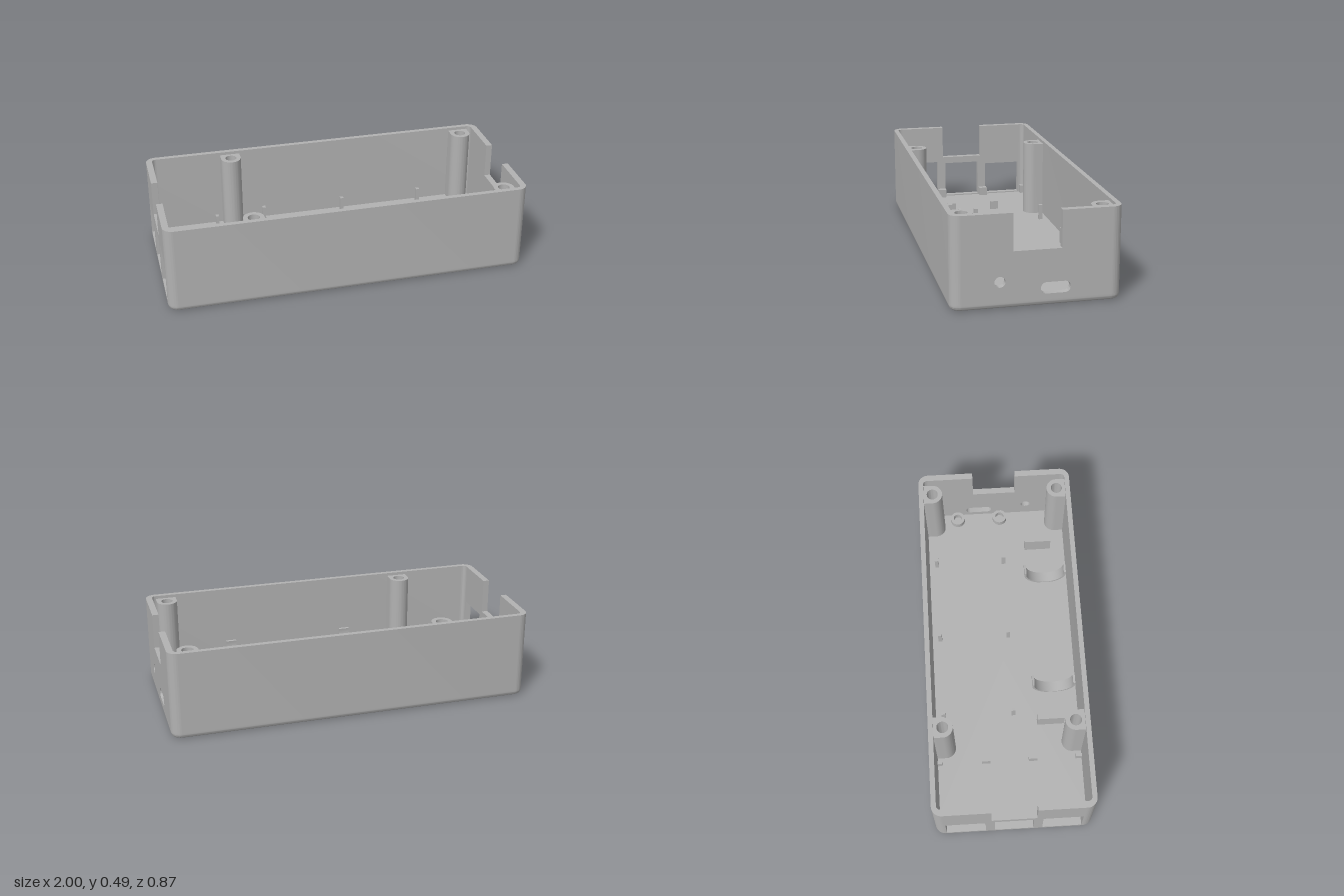
import * as THREE from 'three';
import { toCreasedNormals } from 'three/addons/utils/BufferGeometryUtils.js';

const L = 1, W = 0.437, H = 0.49, R = 0.055, FLOOR = 0.035;
const EZ = W - R; // half width of the flat part of the end walls
const T = 0.035; // end wall thickness

export function createModel() {
  const model = new THREE.Group();
  model.name = 'enclosureBase';
  const plastic = new THREE.MeshStandardMaterial({ color: 0xb2b2b2 });
  plastic.name = 'greyPlastic';

  const add = (name, geometry) => {
    const mesh = new THREE.Mesh(toCreasedNormals(geometry, 0.6), plastic);
    mesh.name = name;
    model.add(mesh);
    return mesh;
  };
  const extrude = (shape, depth) =>
    new THREE.ExtrudeGeometry(shape, { depth, bevelEnabled: false, curveSegments: 14 });
  // plan outline (x, -z) raised from y0 to y1
  const raise = (name, shape, y0, y1) =>
    add(name, extrude(shape, y1 - y0).rotateX(-Math.PI / 2).translate(0, y0, 0));
  // side outline (-z, y) given thickness along x
  const across = (name, shape, x0, x1) =>
    add(name, extrude(shape, x1 - x0).rotateY(Math.PI / 2).translate(x0, 0, 0));
  const block = (name, x0, x1, y0, y1, z0, z1) =>
    add(name, new THREE.BoxGeometry(x1 - x0, y1 - y0, z1 - z0)
      .translate((x0 + x1) / 2, (y0 + y1) / 2, (z0 + z1) / 2));
  const rectPath = (z0, z1, y0, y1) => new THREE.Path(
    [[-z1, y0], [-z0, y0], [-z0, y1], [-z1, y1]].map(p => new THREE.Vector2(...p)));

  add('floor', floorGeometry());

  // long walls with the rounded corners
  for (const s of [1, -1]) {
    const outline = new THREE.Shape();
    outline.moveTo(-L, EZ);
    outline.absarc(-L + R, EZ, R, Math.PI, Math.PI / 2, true);
    outline.absarc(L - R, EZ, R, Math.PI / 2, 0, true);
    outline.lineTo(L - T, EZ);
    outline.quadraticCurveTo(L - T, 0.41, 0.94, 0.41);
    outline.lineTo(-0.94, 0.41);
    outline.quadraticCurveTo(-L + T, 0.41, -L + T, EZ);
    const pts = outline.getPoints(14).map(p => new THREE.Vector2(p.x, p.y * s));
    raise(s > 0 ? 'backWall' : 'frontWall', new THREE.Shape(pts), FLOOR, H);
  }

  // end walls with a cable notch in the top edge
  const endShape = () => new THREE.Shape([
    [-EZ, FLOOR], [EZ, FLOOR], [EZ, H], [0.123, H], [0.123, 0.295],
    [-0.123, 0.295], [-0.123, H], [-EZ, H],
  ].map(p => new THREE.Vector2(...p)));

  const portEnd = endShape();
  const roundHole = new THREE.Path();
  roundHole.absarc(-0.19, 0.14, 0.028, 0, Math.PI * 2);
  const slot = new THREE.Path();
  slot.absarc(0.14, 0.093, 0.03, -Math.PI / 2, Math.PI / 2);
  slot.absarc(0.047, 0.093, 0.03, Math.PI / 2, Math.PI * 1.5);
  portEnd.holes.push(roundHole, slot);
  across('portEndWall', portEnd, L - T, L);

  const windowEnd = endShape();
  for (const [z0, z1, top] of [[-0.375, -0.157, 0.24], [-0.107, 0.107, 0.255], [0.157, 0.375, 0.265]])
    windowEnd.holes.push(rectPath(z0, z1, 0.042, top));
  across('windowEndWall', windowEnd, -L, -L + T);

  // screw posts joined to the long walls
  for (const x of [-0.515, 0.885]) for (const s of [1, -1]) {
    const post = new THREE.Shape();
    post.moveTo(x - 0.057, s * 0.415);
    post.lineTo(x - 0.057, s * 0.36);
    post.absarc(x, s * 0.36, 0.057, Math.PI, 0, s < 0);
    post.lineTo(x + 0.057, s * 0.415);
    const bore = new THREE.Path();
    bore.absarc(x, s * 0.36, 0.032, 0, Math.PI * 2);
    post.holes.push(bore);
    raise('screwPost', post, FLOOR - 0.005, 0.473);
  }

  // short standoffs beside the port end
  for (const z of [-0.225, 0.03]) {
    const standoff = new THREE.Shape();
    standoff.absarc(0.925, -z, 0.042, 0, Math.PI * 2);
    const bore = new THREE.Path();
    bore.absarc(0.925, -z, 0.025, 0, Math.PI * 2);
    standoff.holes.push(bore);
    raise('standoff', standoff, FLOOR - 0.005, 0.07);
  }

  // board stops behind the windows
  for (const [z0, z1] of [[-0.412, -0.385], [-0.16, -0.112], [0.108, 0.157], [0.375, 0.412]]) {
    block('boardStop', -0.968, -0.93, FLOOR - 0.005, 0.085, z0, z1);
    block('boardStop', -0.617, -0.6, FLOOR - 0.005, 0.085, z0, z1);
  }

  // locating pins
  for (const x of [-0.33, 0.15, 0.63]) for (const z of [-0.365, 0.037])
    block('pin', x - 0.01, x + 0.01, FLOOR - 0.005, 0.125, z - 0.011, z + 0.011);

  // cylinder cradles and their end stops
  for (const x of [-0.18, 0.515]) {
    const cradle = new THREE.Shape();
    const a = 0.15;
    cradle.absarc(-0.277, 0.152, 0.124, Math.PI - a, Math.PI * 2 + a, false);
    cradle.absarc(-0.277, 0.152, 0.112, a, Math.PI - a, true);
    across('cradle', cradle, x - 0.03, x + 0.03);
  }
  for (const x of [-0.39, 0.72])
    block('cradleStop', x - 0.015, x + 0.015, FLOOR - 0.005, 0.143, 0.17, 0.325);

  return model;
}

// solid slab with rounded corners and a rounded lower edge
function floorGeometry() {
  const rings = [], steps = 6, arc = 10, bevel = 0.025;
  for (let i = 0; i <= steps; i++) {
    const t = (i / steps) * Math.PI / 2;
    rings.push([bevel * (1 - Math.sin(t)), bevel * (1 - Math.cos(t))]);
  }
  rings.push([0, FLOOR]);
  const pos = [], index = [], n = 4 * (arc + 1);
  for (const [inset, y] of rings)
    for (let q = 0; q < 4; q++) for (let j = 0; j <= arc; j++) {
      const t = (q + j / arc) * Math.PI / 2;
      const sx = q === 0 || q === 3 ? 1 : -1, sz = q < 2 ? 1 : -1;
      pos.push(sx * (L - R) + (R - inset) * Math.cos(t), y, sz * EZ + (R - inset) * Math.sin(t));
    }
  const low = pos.length / 3, high = low + 1, last = (rings.length - 1) * n;
  pos.push(0, 0, 0, 0, FLOOR, 0);
  for (let i = 0; i < n; i++) {
    const j = (i + 1) % n;
    for (let k = 0; k < last; k += n)
      index.push(k + i, k + n + i, k + j, k + j, k + n + i, k + n + j);
    index.push(low, i, j, high, last + j, last + i);
  }
  const g = new THREE.BufferGeometry();
  g.setAttribute('position', new THREE.Float32BufferAttribute(pos, 3));
  g.setIndex(index);
  return g;
}
